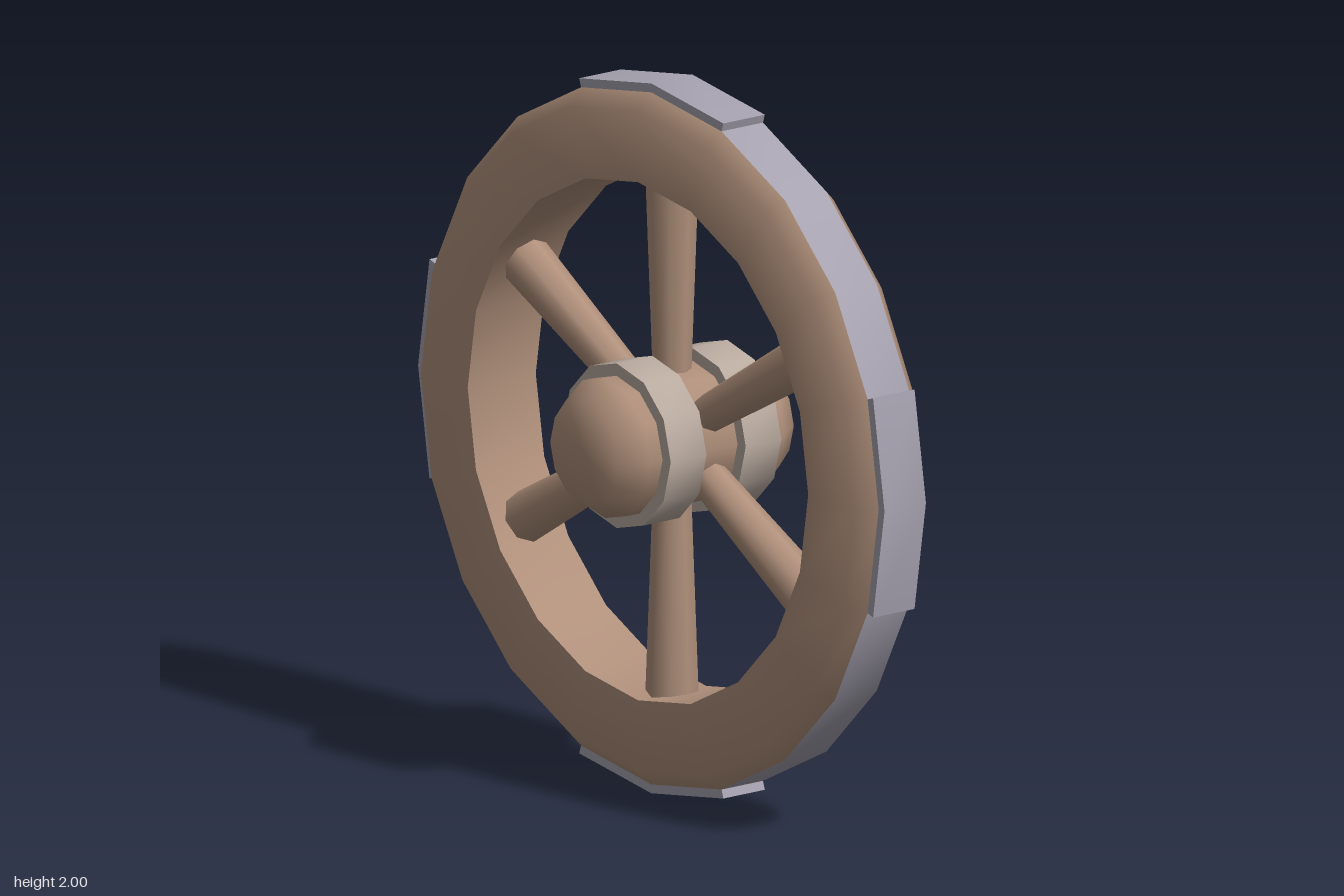
import * as THREE from 'three';
import { toCreasedNormals } from 'three/addons/utils/BufferGeometryUtils.js';

const material = (name, color) => {
  const m = new THREE.MeshStandardMaterial({ color });
  m.name = name;
  return m;
};

// Revolve [radius, x] points about the x axis.
function turned(points, sides, crease) {
  const profile = points.map(([r, x]) => new THREE.Vector2(r, x));
  const geometry = new THREE.LatheGeometry(profile, sides).rotateZ(-Math.PI / 2);
  return toCreasedNormals(geometry, crease);
}

export function createModel() {
  const wood = material('wood', 0xb0907b);
  const iron = material('iron', 0xa6a2b0);
  const band = material('hubMetal', 0xb9aa9f);

  const group = new THREE.Group();
  group.name = 'wheel';
  const wheel = new THREE.Group();
  wheel.name = 'wheelAssembly';
  wheel.position.y = 1;
  group.add(wheel);

  const add = (name, geometry, mat) => {
    const mesh = new THREE.Mesh(geometry, mat);
    mesh.name = name;
    wheel.add(mesh);
    return mesh;
  };

  // Wooden rim with bevelled outer edges, open where the tread covers it
  const tread = 0.073;
  add('rim', turned([
    [0.975, tread], [0.93, 0.12], [0.73, 0.12],
    [0.73, -0.12], [0.93, -0.12], [0.975, -tread],
  ], 20, 0.9), wood);
  add('tread', turned([[0.975, -tread], [0.975, tread]], 20, 0.9), iron);

  // Four bent iron plates clamped over the tread
  const bend = Math.PI / 10;
  const corner = (r, a) => new THREE.Vector2(r * Math.sin(a), r * Math.cos(a));
  const plateShape = new THREE.Shape([
    corner(1, -bend), corner(1, 0), corner(1, bend),
    corner(0.972, bend), corner(0.972, 0), corner(0.972, -bend),
  ]);
  const plate = toCreasedNormals(
    new THREE.ExtrudeGeometry(plateShape, { depth: tread * 2, bevelEnabled: false })
      .translate(0, 0, -tread).rotateY(Math.PI / 2), 0.7);
  for (let i = 0; i < 4; i++) {
    add('rimPlate', plate, iron).rotation.x = i * Math.PI / 2;
  }

  // Six spokes, widening towards the rim
  const spoke = new THREE.CylinderGeometry(0.074, 0.052, 0.62, 8, 1, true).translate(0, 0.45, 0);
  for (let i = 0; i < 6; i++) {
    add('spoke', spoke, wood).rotation.x = i * Math.PI / 3;
  }

  // Hub with rounded ends
  add('hub', turned([
    [0, -0.31], [0.145, -0.31], [0.197, -0.235],
    [0.197, 0.235], [0.145, 0.31], [0, 0.31],
  ], 12, 1.05), wood);

  // Metal bands either side of the spokes
  const ring = turned([
    [0.19, -0.063], [0.232, -0.063], [0.232, 0.063], [0.19, 0.063],
  ], 12, 0.7);
  for (const side of [-1, 1]) {
    add('hubBand', ring, band).position.x = side * 0.132;
  }

  return group;
}
